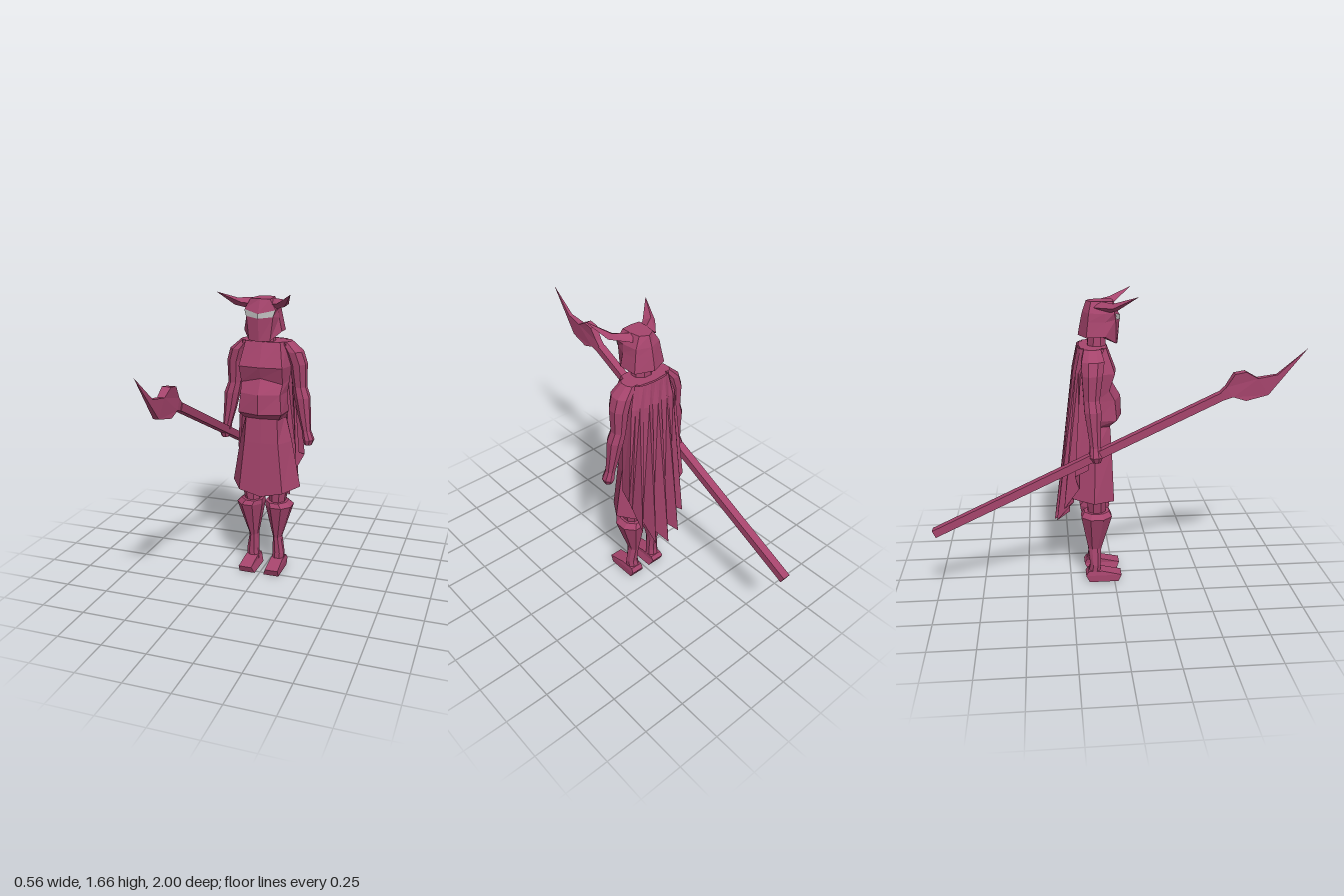
import * as THREE from 'three';

const crimson = new THREE.MeshStandardMaterial({ color: 0xa5446c, flatShading: true, side: THREE.DoubleSide });
crimson.name = 'crimson';
const eyeGrey = new THREE.MeshStandardMaterial({ color: 0xbdbdbd, flatShading: true, side: THREE.DoubleSide });
eyeGrey.name = 'eyeGrey';

// Skin between cross-sections (bottom to top, counter-clockwise from above)
function loft(rings, closed = true) {
  const out = [], n = rings[0].length;
  const tri = (a, b, c) => out.push(...a, ...b, ...c);
  for (let r = 0; r < rings.length - 1; r++) {
    for (let i = 0; i < (closed ? n : n - 1); i++) {
      const j = (i + 1) % n, lo = rings[r], hi = rings[r + 1];
      tri(lo[i], lo[j], hi[j]);
      tri(lo[i], hi[j], hi[i]);
    }
  }
  if (closed) {
    const mid = ring => [0, 1, 2].map(k => ring.reduce((s, p) => s + p[k], 0) / n);
    const lo = rings[0], hi = rings[rings.length - 1], ml = mid(lo), mh = mid(hi);
    for (let i = 0; i < n; i++) {
      const j = (i + 1) % n;
      tri(ml, lo[j], lo[i]);
      tri(mh, hi[i], hi[j]);
    }
  }
  const g = new THREE.BufferGeometry();
  g.setAttribute('position', new THREE.Float32BufferAttribute(out, 3));
  g.computeVertexNormals();
  return g;
}

// Symmetric section from half-profile points [x, z, optional y], front to back
function section(y, half) {
  const right = half.map(([x, z, py]) => [x, py ?? y, z]);
  const left = right.slice(1, -1).reverse().map(([x, py, z]) => [-x, py, z]);
  return [...right, ...left];
}

// Faceted oval section from [y, cx, cz, rx, rz]
function oval([y, cx, cz, rx, rz], n = 8) {
  const k = 1 / Math.cos(Math.PI / n);
  return Array.from({ length: n }, (_, i) => {
    const a = ((i + 0.5) / n) * Math.PI * 2;
    return [cx + Math.sin(a) * rx * k, y, cz + Math.cos(a) * rz * k];
  });
}

function part(name, geometry, material = crimson) {
  const m = new THREE.Mesh(geometry, material);
  m.name = name;
  return m;
}

export function createModel() {
  const model = new THREE.Group();
  model.name = 'hornedSpearGuard';
  const add = (...args) => model.add(part(...args));
  const addPair = (name, geometry) => {
    const right = part('right' + name, geometry);
    right.scale.x = -1;
    model.add(part('left' + name, geometry), right);
  };

  // Torso with overhanging chest and belly
  add('torso', loft([
    section(0.94, [[0, -0.02], [0.1, -0.03], [0.12, -0.11], [0.1, -0.18], [0, -0.195]]),
    section(0.98, [[0, 0.045], [0.125, 0.01], [0.135, -0.1], [0.1, -0.17], [0, -0.18]]),
    section(1.09, [[0, 0.04], [0.115, 0], [0.13, -0.1], [0.1, -0.17], [0, -0.18]]),
    section(1.16, [[0, -0.01, 1.175], [0.12, -0.03, 1.145], [0.14, -0.1], [0.11, -0.18], [0, -0.19]]),
    section(1.24, [[0, 0.015], [0.125, 0], [0.15, -0.1], [0.12, -0.18], [0, -0.195]]),
    section(1.375, [[0, -0.035], [0.1, -0.045], [0.125, -0.11], [0.09, -0.18], [0, -0.19]]),
  ]));
  add('neck', loft([oval([1.34, 0, -0.09, 0.06, 0.05]), oval([1.46, 0, -0.09, 0.045, 0.045])]));

  // Flared skirt
  add('skirt', loft([
    section(0.5, [[0, 0, 0.48], [0.13, -0.005, 0.51], [0.205, -0.12, 0.525], [0.13, -0.235, 0.53], [0, -0.24, 0.5]]),
    section(0.8, [[0, -0.01], [0.1, -0.015], [0.155, -0.11], [0.1, -0.205], [0, -0.215]]),
    section(0.96, [[0, -0.02], [0.09, -0.025], [0.115, -0.11], [0.09, -0.185], [0, -0.195]]),
  ]));

  // Helmet, eye slit and horns
  add('helmet', loft([
    section(1.43, [[0, 0.025, 1.385], [0.06, 0.012, 1.39], [0.108, -0.05, 1.435], [0.1, -0.15], [0, -0.19]]),
    section(1.51, [[0, 0.035], [0.075, 0.008, 1.52], [0.092, -0.05], [0.085, -0.14], [0, -0.175]]),
    section(1.555, [[0, 0.033, 1.538], [0.087, 0, 1.557], [0.088, -0.05], [0.078, -0.135], [0, -0.165]]),
    section(1.613, [[0, 0], [0.055, -0.005], [0.055, -0.06], [0.045, -0.12], [0, -0.145]]),
  ]));
  add('eyes', loft([
    [[-0.076, 1.52, 0.012], [0, 1.512, 0.039], [0.076, 1.52, 0.012]],
    [[-0.088, 1.556, 0.005], [0, 1.537, 0.038], [0.088, 1.556, 0.005]],
  ], false), eyeGrey);
  const tip = [0.203, 1.657, 0.115];
  addPair('Horn', loft([
    [[0.045, 1.613, -0.07], [0.05, 1.585, -0.01], [0.07, 1.555, -0.03], [0.075, 1.585, -0.11]],
    [[0.13, 1.613, -0.01], [0.1, 1.592, 0.02], [0.14, 1.577, 0.01], [0.155, 1.59, -0.015]],
    [tip, tip, tip, tip],
  ]));

  // Arms ending in closed hands
  addPair('Arm', loft([
    [0.79, 0.25, -0.11, 0.02, 0.022], [0.82, 0.252, -0.113, 0.03, 0.035],
    [0.87, 0.238, -0.115, 0.024, 0.028], [0.96, 0.222, -0.12, 0.034, 0.035],
    [1.06, 0.208, -0.125, 0.043, 0.045], [1.12, 0.192, -0.13, 0.037, 0.042],
    [1.25, 0.184, -0.125, 0.046, 0.055], [1.32, 0.162, -0.12, 0.046, 0.06],
    [1.375, 0.115, -0.12, 0.03, 0.045],
  ].map(r => oval(r))));

  // Legs with flared greaves, and feet
  addPair('Leg', loft([
    [0.04, 0.076, -0.115, 0.036, 0.035], [0.1, 0.08, -0.11, 0.034, 0.03],
    [0.2, 0.073, -0.112, 0.025, 0.037], [0.41, 0.087, -0.1025, 0.077, 0.086],
    [0.435, 0.073, -0.1, 0.062, 0.07], [0.435, 0.075, -0.1, 0.046, 0.05],
    [0.56, 0.085, -0.1, 0.055, 0.055],
  ].map(r => oval(r))));
  const footRing = (y, inner, outer, front, back) =>
    [[inner, y, front], [outer, y, front], [outer, y, back], [inner, y, back]];
  const footTop = footRing(0.065, 0.042, 0.115, -0.07, -0.15);
  addPair('Foot', loft([
    footRing(0, 0.027, 0.12, 0.022, -0.145),
    footRing(0.04, 0.042, 0.12, 0.04, -0.165),
    footTop,
  ]));

  // Pleated cape: alternating ridges and valleys from the centre out
  const collar = [[0, -0.198], [0.03, -0.198], [0.055, -0.196], [0.075, -0.192],
    [0.1, -0.182], [0.115, -0.165], [0.13, -0.13], [0.12, -0.055]];
  const shoulder = [[0, -0.222], [0.03, -0.212], [0.06, -0.222], [0.085, -0.208],
    [0.115, -0.21], [0.13, -0.195], [0.15, -0.185], [0.15, -0.12]];
  const hem = [[0, -0.337, 0.355], [0.045, -0.25, 0.42], [0.085, -0.325, 0.385], [0.105, -0.23, 0.5],
    [0.15, -0.285, 0.48], [0.155, -0.2, 0.6], [0.2, -0.225, 0.69], [0.185, -0.15, 0.72]];
  const capeRow = (y, half) => {
    const pts = half.map(([x, z, py]) => [x, py ?? y, z]);
    return [...pts.slice(1).reverse(), ...pts.map(([x, py, z]) => [-x, py, z])];
  };
  add('cape', loft([capeRow(0.5, hem), capeRow(1.25, shoulder), capeRow(1.375, collar)], false));

  // Spear: tilted square shaft and a blade that thins to its point
  const spearX = -0.243, rise = 0.732, run = 1.545;
  const shaft = part('spearShaft', new THREE.BoxGeometry(0.046, 0.043, Math.hypot(rise, run)));
  shaft.position.set(spearX, 0.41 + rise / 2, -0.99 + run / 2);
  shaft.rotation.x = -Math.atan2(rise, run);
  model.add(shaft);

  const outline = [[1, 1.385], [0.845, 1.25], [0.74, 1.233], [0.675, 1.27], [0.616, 1.26], [0.573, 1.19],
    [0.54, 1.158], [0.546, 1.115], [0.61, 1.137], [0.68, 1.115], [0.8, 1.142]];
  const blade = new THREE.ExtrudeGeometry(
    new THREE.Shape(outline.map(p => new THREE.Vector2(...p))), { depth: 2, bevelEnabled: false });
  blade.translate(0, 0, -1).rotateY(-Math.PI / 2);
  const pos = blade.attributes.position;
  for (let i = 0; i < pos.count; i++) {
    const z = pos.getZ(i);
    const half = z < 0.6 ? 0.019 : z < 0.7 ? 0.024 : 0.075 * (1 - z);
    pos.setX(i, spearX + pos.getX(i) * half);
  }
  blade.computeVertexNormals();
  add('spearBlade', blade);

  return model;
}
